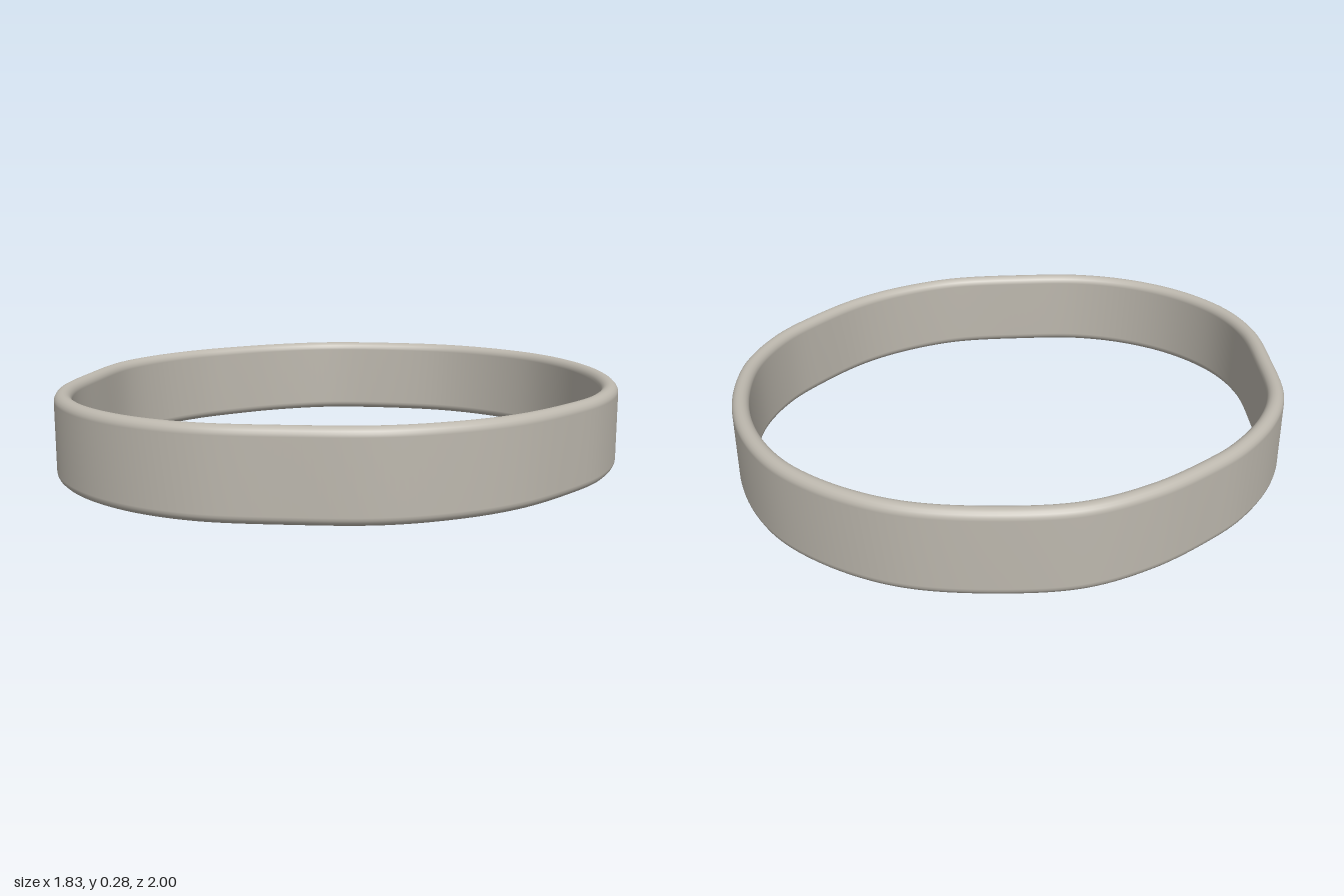
import * as THREE from 'three';

const HEIGHT = 0.285, THICK = 0.057, R = THICK / 2;
const RING = 220, CAP = 10;

// Outer outline seen from above (x, z), starting at the back and passing the right side
const OUTLINE = [
  [0.02, -1], [-0.2, -0.975], [-0.4, -0.9], [-0.6, -0.75], [-0.78, -0.55], [-0.87, -0.33],
  [-0.908, -0.1], [-0.914, 0.06], [-0.88, 0.27], [-0.8, 0.46], [-0.62, 0.675], [-0.43, 0.86],
  [-0.23, 0.965], [0, 0.998], [0.22, 0.96], [0.42, 0.86], [0.61, 0.68], [0.79, 0.46],
  [0.88, 0.24], [0.913, 0.03], [0.895, -0.2], [0.85, -0.4], [0.74, -0.61], [0.58, -0.775],
  [0.4, -0.895], [0.2, -0.973],
];

// Upright band section with round ends: [inset from the outline, y]
function bandSection() {
  const pts = [];
  for (const [cy, start] of [[HEIGHT - R, 0], [R, Math.PI]]) {
    for (let i = 0; i <= CAP; i++) {
      const a = start + (Math.PI * i) / CAP;
      pts.push([R - R * Math.cos(a), cy + R * Math.sin(a)]);
    }
  }
  return pts;
}

// Sweep the section around the outline
function bandGeometry() {
  const curve = new THREE.CatmullRomCurve3(
    OUTLINE.map(([x, z]) => new THREE.Vector3(x, 0, z)), true, 'centripetal');
  const section = bandSection(), n = section.length;
  const positions = [], index = [];
  for (let i = 0; i < RING; i++) {
    const p = curve.getPointAt(i / RING), t = curve.getTangentAt(i / RING);
    const nx = t.z, nz = -t.x; // inward direction
    for (const [inset, y] of section) positions.push(p.x + nx * inset, y, p.z + nz * inset);
    const next = (i + 1) % RING;
    for (let j = 0; j < n; j++) {
      const k = (j + 1) % n;
      const a = i * n + j, b = next * n + j, c = next * n + k, d = i * n + k;
      index.push(a, b, d, b, c, d);
    }
  }
  const geo = new THREE.BufferGeometry();
  geo.setAttribute('position', new THREE.Float32BufferAttribute(positions, 3));
  geo.setIndex(index);
  geo.computeVertexNormals();
  return geo;
}

export function createModel() {
  const group = new THREE.Group();
  group.name = 'wristband';
  const warmGrey = new THREE.MeshStandardMaterial({ color: 0xbdb8ae });
  warmGrey.name = 'warm grey';
  const band = new THREE.Mesh(bandGeometry(), warmGrey);
  band.name = 'band';
  group.add(band);
  return group;
}
